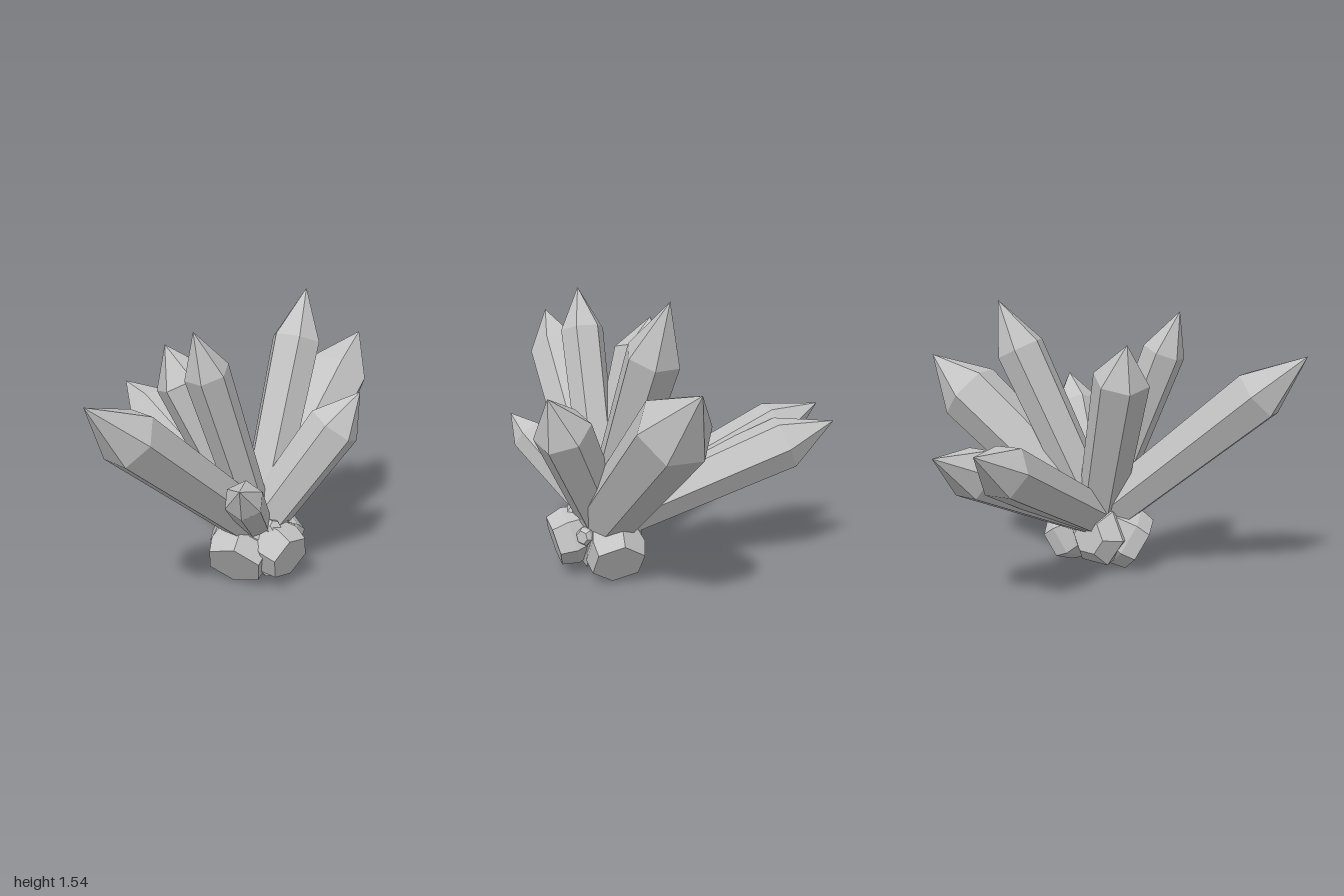
import * as THREE from 'three';

const V = (a) => new THREE.Vector3(...a);
const UP = new THREE.Vector3(0, 1, 0);

export function createModel() {
  const group = new THREE.Group();
  const stone = new THREE.MeshStandardMaterial({ color: 0xc4c4c4, flatShading: true });
  stone.name = 'grey stone';

  // Six-sided faceted solid: profile of [radius, height], placed at origin and aimed along dir
  function facet(name, profile, origin, dir, roll = 0) {
    const points = profile.map(([r, h]) => new THREE.Vector2(r, h));
    const geo = new THREE.LatheGeometry(points, 6).toNonIndexed();
    geo.computeVertexNormals();
    geo.rotateY(roll);
    const mesh = new THREE.Mesh(geo, stone);
    mesh.name = name;
    mesh.position.copy(origin);
    mesh.quaternion.setFromUnitVectors(UP, dir.clone().normalize());
    group.add(mesh);
  }

  // Long crystals radiating from one hub: tip, shoulder radius, point length, roll
  const hub = V([0.25, 0.28, -0.04]);
  const crystals = [
    [[-0.77, 0.865, -0.72], 0.145, 0.27, 0.46],
    [[-0.61, 0.83, -0.92], 0.145, 0.28, 0.26],
    [[-0.33, 1.27, 0.995], 0.157, 0.33, 0],
    [[-0.25, 1.33, 0.06], 0.155, 0.21, 0.72],
    [[0, 1.49, 0.38], 0.12, 0.24, 0],
    [[0.39, 1.54, -0.6], 0.143, 0.3, 0.28],
    [[0.66, 1.21, -1.0], 0.19, 0.32, 0.1],
    [[0.77, 1.08, -0.17], 0.15, 0.23, 0.76],
    [[0.3, 0.78, 0.635], 0.104, 0.18, 1.12],
  ];
  for (const [tip, r, point, roll] of crystals) {
    const dir = V(tip).sub(hub);
    const length = dir.length();
    facet('crystal', [[0, 0], [r * 0.85, 0], [r, length - point], [0, length]], hub, dir, roll);
  }

  // Blunt stubs around the foot: end-face centre, direction, end radius, widest radius, roll
  const stubs = [
    [[0.17, 0.135, 0.19], [-0.1, -0.5, 0.83], 0.163, 0.18, 0.75],
    [[0.47, 0.19, 0.12], [0.8, -0.25, 0.5], 0.135, 0.158, 0.3],
    [[0.37, 0.13, -0.26], [0.5, -0.5, -0.7], 0.145, 0.165, 0.3],
    [[0.05, 0.22, -0.12], [-0.7, 0.1, -0.6], 0.1, 0.18, 0.3],
  ];
  for (const [end, dir, r, wide, roll] of stubs) {
    facet('baseStub', [[0, -0.26], [wide * 0.75, -0.26], [wide, -0.09], [r, 0], [0, 0]], V(end), V(dir), roll);
  }

  // Small shards wedged between the stubs
  const shards = [
    [[0.38, 0.36, 0.1], [0.5, 0.5, 0.4]],
    [[0.46, 0.26, -0.08], [1, 0.1, -0.2]],
    [[0.36, 0.1, -0.04], [0.6, -0.4, 0]],
    [[0.35, 0.08, 0.11], [0.3, -0.3, 0.8]],
  ];
  for (const [end, dir] of shards) {
    facet('shard', [[0, -0.15], [0.04, -0.15], [0.05, -0.02], [0.035, 0], [0, 0]], V(end), V(dir));
  }

  // Core joining everything at the foot
  const core = new THREE.Mesh(new THREE.IcosahedronGeometry(0.2, 0), stone);
  core.name = 'core';
  core.position.set(0.25, 0.21, -0.01);
  group.add(core);

  return group;
}
